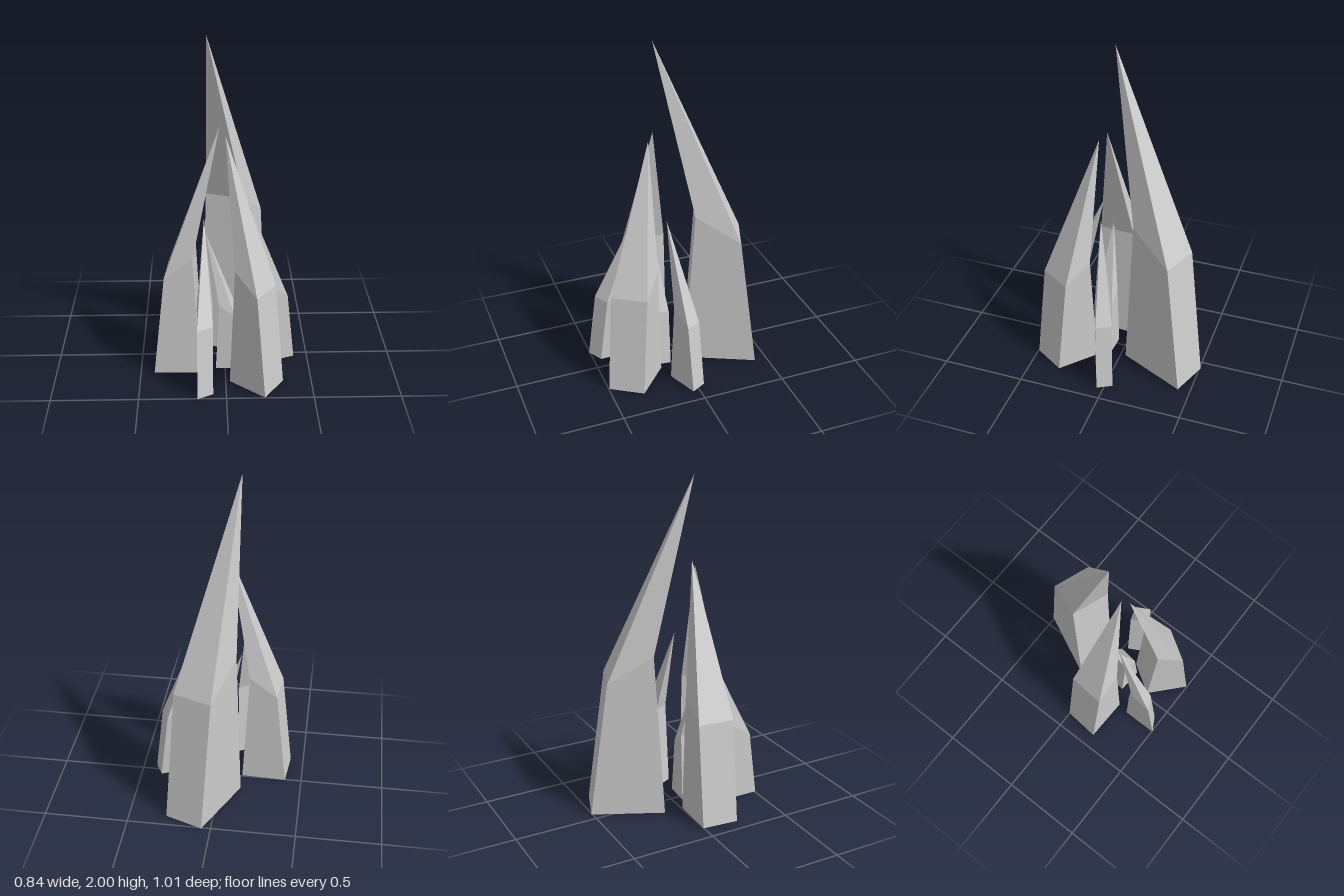
import * as THREE from 'three';

// Every shard is the same form: a parallelogram foot, a slanted shoulder, a leaning tip.
// p, q: outer foot corners [x, z] (counter-clockwise seen from above); tip: [x, y, z].
const SHARDS = [
  { name: 'tallShard', p: [0.277, -0.425], q: [0.055, -0.507], tip: [-0.1, 2.0, 0.09] },
  { name: 'rightShard', p: [-0.4, 0.003 - 0.006], q: [-0.42, 0.212], tip: [-0.03, 1.5, 0.118] },
  { name: 'frontLeftShard', p: [0.22, 0.497], q: [0.335, 0.317], tip: [0.0, 1.46, 0.155] },
  { name: 'smallFrontShard', p: [-0.165, 0.505], q: [-0.075, 0.455], tip: [-0.12, 0.98, 0.178] },
  { name: 'smallLeftShard', p: [0.42, 0.04], q: [0.375, -0.045], tip: [0.14, 1.02, 0.1] },
  { name: 'smallCentreShard', p: [0.095, 0.18], q: [0.11, 0.066], tip: [-0.11, 0.85, 0.11] },
];

function shardGeometry({ p, q, tip }) {
  const [tx, height, tz] = tip;
  // Foot depth vector, pointing inwards; the tip overhangs the foot
  const vx = (tx - (p[0] + q[0]) / 2) / 1.41;
  const vz = (tz - (p[1] + q[1]) / 2) / 1.41;
  const at = (c, t, y) => new THREE.Vector3(c[0] + vx * t, y, c[1] + vz * t);
  const ring = (outer, inner, yOuter, yInner) =>
    [at(p, outer, yOuter), at(q, outer, yOuter), at(q, inner, yInner), at(p, inner, yInner)];

  const foot = ring(0, 1, 0, 0);
  const shoulder = ring(0.25, 0.86, 0.413 * height, 0.495 * height);
  const apex = new THREE.Vector3(tx, height, tz);

  const points = [foot[0], foot[3], foot[2], foot[0], foot[2], foot[1]]; // underside
  for (let i = 0; i < 4; i++) {
    const j = (i + 1) % 4;
    points.push(foot[i], foot[j], shoulder[j], foot[i], shoulder[j], shoulder[i]); // side
    points.push(shoulder[i], shoulder[j], apex); // point
  }
  const geometry = new THREE.BufferGeometry().setFromPoints(points);
  geometry.computeVertexNormals();
  return geometry;
}

export function createModel() {
  const group = new THREE.Group();
  group.name = 'crystalCluster';
  const material = new THREE.MeshStandardMaterial({ color: 0xcccccc, flatShading: true });
  for (const shard of SHARDS) {
    const mesh = new THREE.Mesh(shardGeometry(shard), material);
    mesh.name = shard.name;
    group.add(mesh);
  }
  return group;
}
